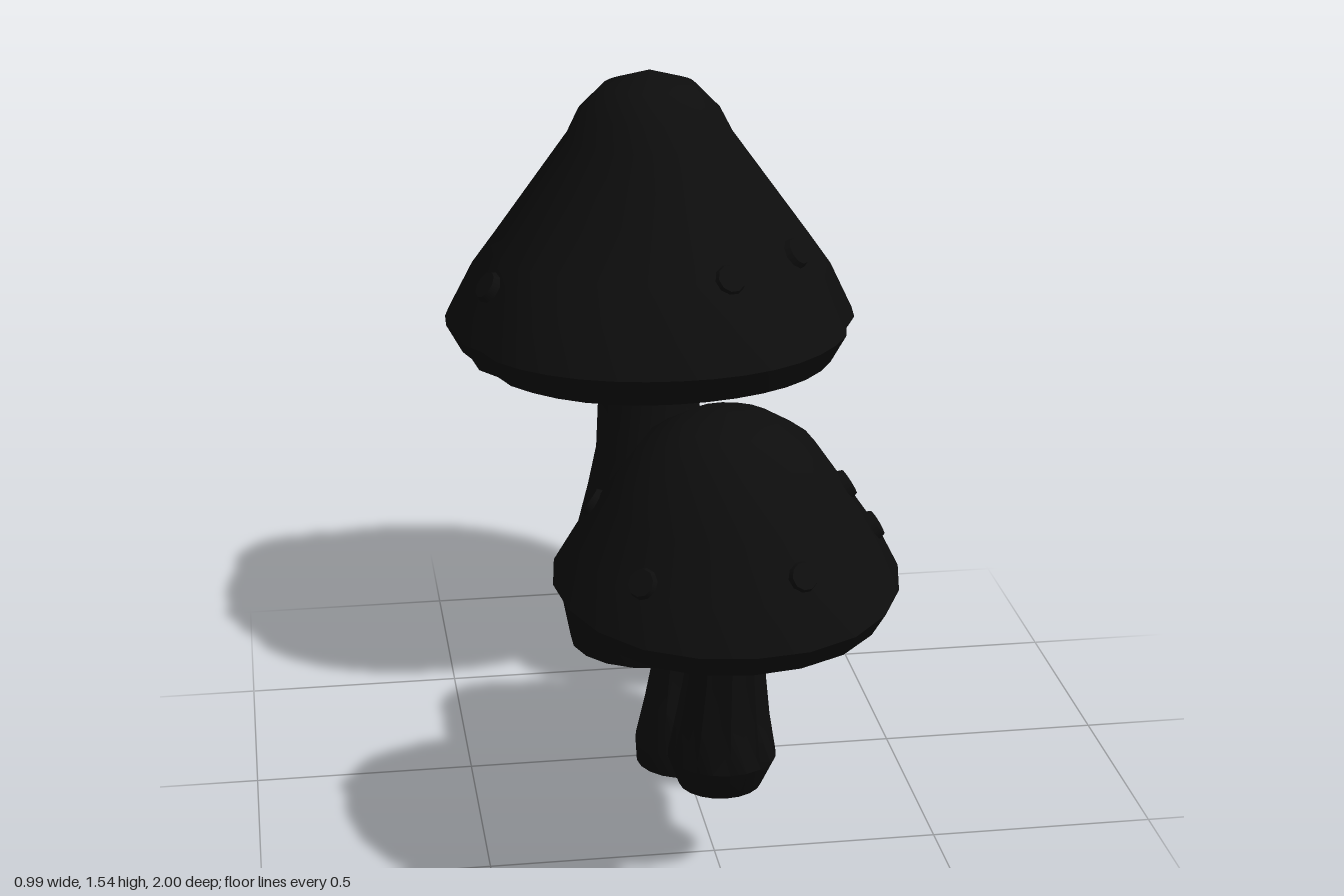
import * as THREE from 'three';
import { toCreasedNormals } from 'three/addons/utils/BufferGeometryUtils.js';

const dark = new THREE.MeshStandardMaterial({ color: 0x0d0d0d });

// Lathe whose vertices can be moved by a rule: move(vertex, profileIndex, segmentIndex)
function turned(name, profile, segments, move) {
  const geo = new THREE.LatheGeometry(profile.map(([r, y]) => new THREE.Vector2(r, y)), segments);
  const pos = geo.attributes.position;
  const v = new THREE.Vector3();
  for (let i = 0; i < pos.count; i++) {
    v.fromBufferAttribute(pos, i);
    move(v, i % profile.length, Math.floor(i / profile.length) % segments);
    pos.setXYZ(i, v.x, v.y, v.z);
  }
  const mesh = new THREE.Mesh(toCreasedNormals(geo, 0.6), dark);
  mesh.name = name;
  return mesh;
}

// Stem: rings of [radius, y, centre z], with shallow lengthwise grooves above the foot
function makeStem(rings, segments, groove) {
  return turned('stem', rings, segments, (v, j, s) => {
    const k = j > 2 && s % 2 ? 1 - groove : 1;
    v.set(v.x * k, v.y, v.z * k + rings[j][2]);
  });
}

// Low round spot lying on the slope of a cap; angle is measured from +z towards +x
function makeSpot(profile, angle, y, radius) {
  let i = profile.length - 1;
  while (profile[i - 1][1] > y) i--;
  const [r0, y0] = profile[i - 1], [r1, y1] = profile[i];
  const r = r0 + (r1 - r0) * (y - y0) / (y1 - y0);
  const normal = new THREE.Vector3(y1 - y0, r0 - r1, 0).normalize();
  const out = new THREE.Vector3(Math.sin(angle) * normal.x, normal.y, Math.cos(angle) * normal.x);
  const spot = new THREE.Mesh(new THREE.CylinderGeometry(radius * 0.8, radius, 0.02, 10), dark);
  spot.name = 'spot';
  spot.position.set(Math.sin(angle) * r, y, Math.cos(angle) * r);
  spot.quaternion.setFromUnitVectors(new THREE.Vector3(0, 1, 0), out);
  return spot;
}

function makeMushroom({ name, cap, segments, notches = {}, position, tilt, spots, spotSize, stem, stemSides, groove }) {
  const mushroom = new THREE.Group();
  mushroom.name = name;
  const head = new THREE.Group();
  head.name = 'capWithSpots';
  head.position.set(...position);
  head.rotation.x = tilt;
  const rim = cap.reduce((best, p, i) => (p[0] > cap[best][0] ? i : best), 0);
  // Gentle unevenness, plus chips cut into the rim
  head.add(turned('cap', cap, segments, (v, j, s) => {
    const wobble = 1 + 0.008 * Math.sin(s * 2 * Math.PI * 5 / segments + j);
    const chip = Math.abs(j - rim) <= 1 ? 1 - (notches[s] || 0) : 1;
    v.x *= wobble * chip;
    v.z *= wobble * chip;
  }));
  for (const [angle, y] of spots) head.add(makeSpot(cap, angle, y, spotSize));
  mushroom.add(head, makeStem(stem, stemSides, groove));
  return mushroom;
}

export function createModel() {
  const group = new THREE.Group();
  group.name = 'mushroomCluster';

  group.add(makeMushroom({
    name: 'tallMushroom',
    cap: [[0, 0.9], [0.2, 0.9], [0.25, 0.825], [0.35, 0.838], [0.455, 0.865], [0.497, 0.935],
      [0.44, 1.05], [0.385, 1.13], [0.2, 1.39], [0.17, 1.45], [0.11, 1.51], [0, 1.545]],
    segments: 40, notches: { 11: 0.08, 31: 0.03, 33: 0.03, 8: 0.03 },
    position: [0, 0, -0.5], tilt: 0,
    spots: [[0.36, 1.13], [1.0, 1.14], [-1.25, 1.07], [-2.75, 1.12], [-2.75, 1.37], [2.4, 1.2], [2.0, 1.02]],
    spotSize: 0.042,
    stem: [[0, 0.003, -0.54], [0.2, 0.07, -0.54], [0.225, 0.2, -0.535], [0.19, 0.35, -0.545],
      [0.155, 0.48, -0.55], [0.133, 0.58, -0.55], [0.122, 0.82, -0.545], [0.12, 0.93, -0.54]],
    stemSides: 18, groove: 0.03,
  }));

  group.add(makeMushroom({
    name: 'frontMushroom',
    cap: [[0, -0.04], [0.13, -0.04], [0.17, -0.08], [0.25, -0.072], [0.335, -0.045], [0.367, 0.01],
      [0.32, 0.1], [0.25, 0.205], [0.18, 0.31], [0.1, 0.363], [0, 0.385]],
    segments: 20,
    position: [0, 0.717, 0.64], tilt: 0.09,
    spots: [[0.38, 0.14], [-0.75, 0.12], [1.55, 0.21], [1.5, 0.12], [-1.9, 0.15], [2.9, 0.14]],
    spotSize: 0.036,
    stem: [[0, 0.2, 0.565], [0.09, 0.212, 0.57], [0.118, 0.29, 0.592], [0.1, 0.4, 0.612],
      [0.087, 0.5, 0.635], [0.078, 0.64, 0.658], [0.078, 0.7, 0.665]],
    stemSides: 20, groove: 0.09,
  }));

  group.add(makeMushroom({
    name: 'smallMushroom',
    cap: [[0, -0.045], [0.1, -0.045], [0.13, -0.08], [0.18, -0.068], [0.255, -0.045], [0.278, 0.003],
      [0.24, 0.08], [0.185, 0.16], [0.125, 0.265], [0.075, 0.303], [0, 0.325]],
    segments: 20,
    position: [0, 0.445, 0.085], tilt: -0.045,
    spots: [[-0.65, 0.13], [0.95, 0.04], [1.6, 0.14], [2.8, 0.12], [-2.1, 0.1]],
    spotSize: 0.028,
    stem: [[0, 0.025, 0.067], [0.115, 0.025, 0.067], [0.118, 0.08, 0.067], [0.095, 0.18, 0.067],
      [0.075, 0.28, 0.065], [0.067, 0.36, 0.063], [0.067, 0.42, 0.063]],
    stemSides: 20, groove: 0.05,
  }));

  return group;
}
